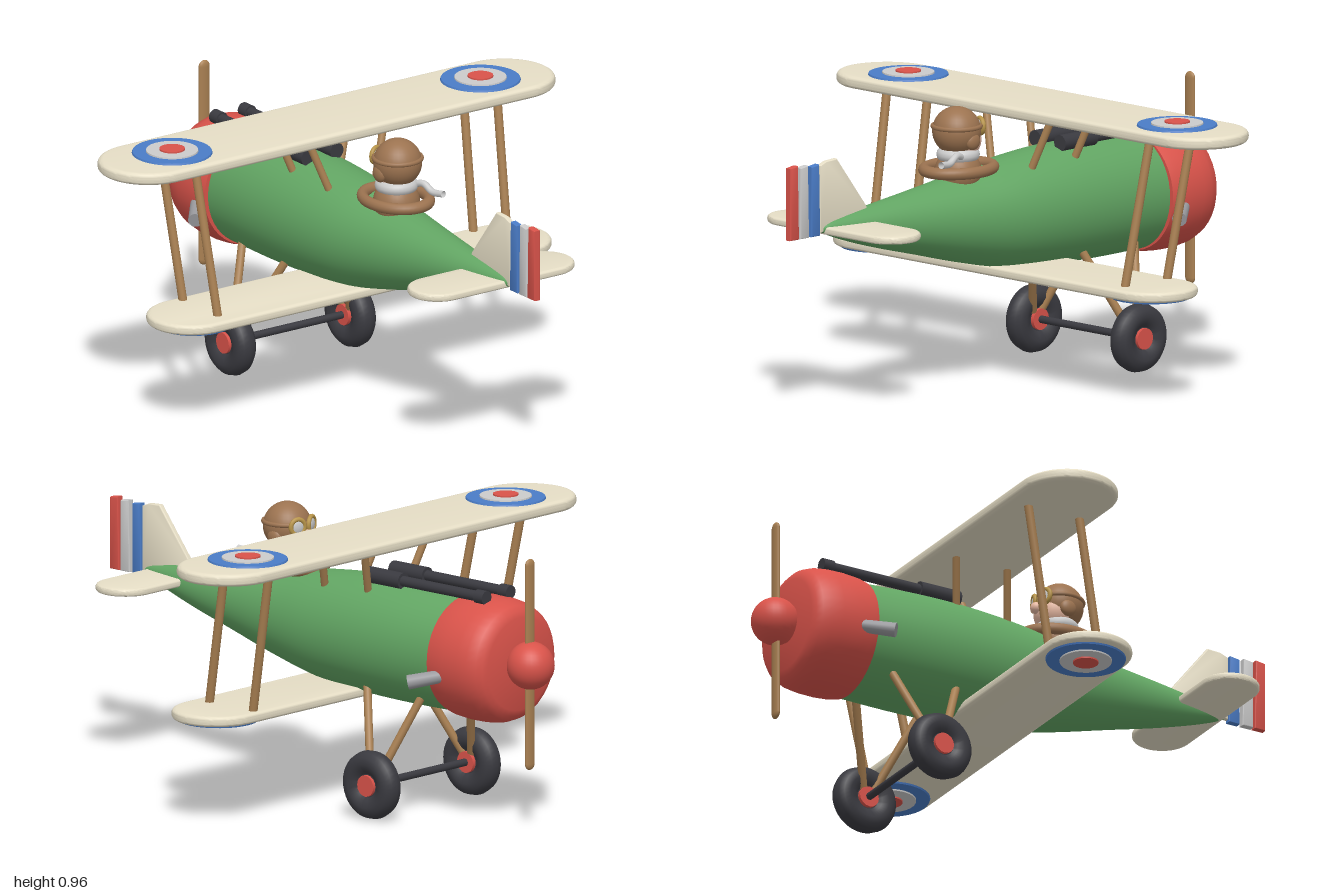
import * as THREE from 'three';
import { toCreasedNormals } from 'three/addons/utils/BufferGeometryUtils.js';
import { ParametricGeometry } from 'three/addons/geometries/ParametricGeometry.js';

const mat = (color) => new THREE.MeshStandardMaterial({ color });
const M = {
  green: mat(0x62a563), cream: mat(0xe6dec6), red: mat(0xd9534a), wood: mat(0xa98052), dark: mat(0x3a3a40),
  blue: mat(0x4a7cc7), grey: mat(0xcccccc), steel: mat(0x9a9a9e), leather: mat(0x9c7350), skin: mat(0xe8b9a2), gold: mat(0xb8954a),
};
const V = (x, y, z) => new THREE.Vector3(x, y, z);

export function createModel() {
  const root = new THREE.Group();
  const add = (name, geo, m, x = 0, y = 0, z = 0) => {
    const mesh = new THREE.Mesh(geo, m);
    mesh.name = name;
    mesh.position.set(x, y, z);
    root.add(mesh);
    return mesh;
  };
  // Round bar between two points
  const bar = (name, a, b, r, m, r2 = r) => {
    const d = b.clone().sub(a);
    const mesh = add(name, new THREE.CylinderGeometry(r2, r, d.length(), 16), m);
    mesh.position.copy(a).addScaledVector(d, 0.5);
    mesh.quaternion.setFromUnitVectors(V(0, 1, 0), d.normalize());
    return mesh;
  };
  const ball = (name, r, m, x, y, z) => add(name, new THREE.SphereGeometry(r, 32, 20), m, x, y, z);
  // Lathe profile turned to run along z
  const turned = (pts) => toCreasedNormals(
    new THREE.LatheGeometry(pts.map(([r, z]) => new THREE.Vector2(r, z)), 40).rotateX(Math.PI / 2), 0.6);
  const slab = (shape, t, bevel) => toCreasedNormals(new THREE.ExtrudeGeometry(shape, {
    depth: t - 2 * bevel, bevelThickness: bevel, bevelSize: bevel, bevelOffset: -bevel, bevelSegments: 4, curveSegments: 20,
  }).translate(0, 0, bevel - t / 2), 0.7);

  // Fuselage: elliptical sections along a curve holding (radius, centre height, z)
  const spine = new THREE.CatmullRomCurve3([
    V(0.2, 0.565, -0.66), V(0.207, 0.57, -0.4), V(0.203, 0.572, -0.2), V(0.186, 0.573, 0), V(0.15, 0.58, 0.2),
    V(0.111, 0.594, 0.4), V(0.073, 0.609, 0.6), V(0.042, 0.621, 0.74), V(0.02, 0.629, 0.82), V(0.002, 0.632, 0.86),
  ]);
  add('fuselage', new ParametricGeometry((u, v, out) => {
    const p = spine.getPoint(v), a = u * Math.PI * 2;
    out.set(0.95 * p.x * Math.cos(a), p.y + p.x * Math.sin(a), p.z);
  }, 48, 60), M.green);

  // Cowling, spinner and propeller
  add('cowling', turned([[0, -0.87], [0.16, -0.87], [0.18, -0.862], [0.197, -0.845], [0.21, -0.81], [0.215, -0.77],
    [0.216, -0.71], [0.212, -0.66], [0.205, -0.63], [0, -0.63]]), M.red, 0, 0.565, 0);
  ball('spinner', 0.082, M.red, 0, 0.567, -0.918);
  const prop = add('propeller', new THREE.CapsuleGeometry(0.022, 0.686, 8, 20, 20), M.wood, 0, 0.57, -0.915);
  prop.scale.z = 0.45;

  // Wings and tailplane: slabs with semicircular tips
  const wing = (name, half, chord, t, y, z) => {
    const r = chord / 2, s = new THREE.Shape();
    s.absarc(half - r, 0, r, -Math.PI / 2, Math.PI / 2, false);
    s.absarc(r - half, 0, r, Math.PI / 2, Math.PI * 1.5, false);
    s.closePath();
    add(name, slab(s, t, t * 0.45).rotateX(-Math.PI / 2), M.cream, 0, y, z);
  };
  wing('upperWing', 0.915, 0.345, 0.042, 0.911, -0.212);
  wing('lowerWing', 0.81, 0.305, 0.036, 0.384, -0.083);
  wing('tailplane', 0.325, 0.205, 0.027, 0.623, 0.733);

  // Fin and striped rudder
  const plate = (name, pts, m, t) => {
    const s = new THREE.Shape(pts.map(([z, y]) => new THREE.Vector2(-z, y)));
    add(name, slab(s, t, 0.005).rotateY(Math.PI / 2), m);
  };
  plate('fin', [[0.855, 0.62], [0.62, 0.64], [0.635, 0.685], [0.775, 0.865], [0.825, 0.862], [0.855, 0.85]].reverse(), M.cream, 0.02);
  [['rudderBlue', M.blue, 0.857, 0.857], ['rudderGrey', M.grey, 0.91, 0.86], ['rudderRed', M.red, 0.958, 0.865]].forEach(([n, m, z, top]) =>
    plate(n, [[z + 0.042, 0.611], [z, 0.611], [z + 0.005, top], [z + 0.042, top - 0.005]].reverse(), m, 0.026));

  for (const s of [-1, 1]) {
    // Roundels above the upper wing and below the lower wing
    [[0.137, 0.007, M.blue], [0.09, 0.012, M.grey], [0.044, 0.017, M.red]].forEach(([r, h, m]) => {
      add('upperRoundel', new THREE.CylinderGeometry(r * 0.98, r, h, 40), m, s * 0.643, 0.931 + h / 2, -0.213);
      add('lowerRoundel', new THREE.CylinderGeometry(r, r * 0.98, h, 40), m, s * 0.648, 0.367 - h / 2, -0.083);
    });

    // Wing struts
    for (const dz of [0, -0.2]) {
      bar('wingStrut', V(s * 0.605, 0.385, dz), V(s * 0.63, 0.91, dz - 0.1), 0.015, M.wood);
      bar('cabaneStrut', V(s * 0.09, 0.71, dz - 0.06), V(s * 0.158, 0.905, dz - 0.1), 0.013, M.wood);
    }

    // Undercarriage legs and wheel
    bar('gearLeg', V(s * 0.12, 0.42, -0.28), V(s * 0.23, 0.15, -0.395), 0.014, M.wood);
    bar('gearLeg', V(s * 0.12, 0.42, -0.53), V(s * 0.23, 0.15, -0.435), 0.014, M.wood);
    const tyre = turned([[0, -0.022], [0.04, -0.022], [0.052, -0.032], [0.075, -0.041], [0.098, -0.036], [0.112, -0.022], [0.118, 0],
      [0.112, 0.022], [0.098, 0.036], [0.075, 0.041], [0.052, 0.032], [0.04, 0.022], [0, 0.022]]);
    add('wheel', tyre.rotateY(Math.PI / 2), M.dark, s * 0.25, 0.12, -0.42);
    bar('wheelHub', V(s * 0.215, 0.12, -0.42), V(s * 0.283, 0.12, -0.42), 0.037, M.red);

    // Machine gun
    const gun = (n, z1, z2, r) => bar(n, V(s * 0.06, 0.788, z1), V(s * 0.06, 0.788, z2), r, M.dark);
    gun('gunBody', -0.235, -0.39, 0.028);
    gun('gunBarrel', -0.38, -0.74, 0.018);
    gun('gunMuzzle', -0.73, -0.772, 0.024);

    // Exhaust pipe
    bar('exhaust', V(s * 0.185, 0.53, -0.70), V(s * 0.265, 0.504, -0.6), 0.022, M.steel, 0.025);

    // Goggle, with ear flap on the helmet
    add('goggleRim', new THREE.TorusGeometry(0.026, 0.008, 10, 28), M.gold, s * 0.034, 0.893, 0.118).rotation.y = s * -0.35;
    const lens = ball('goggleLens', 0.025, M.grey, s * 0.034, 0.893, 0.12);
    lens.scale.z = 0.4;
    lens.rotation.y = s * -0.35;
    ball('earFlap', 0.03, M.leather, s * 0.07, 0.853, 0.19).scale.x = 0.6;
  }
  bar('axle', V(-0.23, 0.12, -0.42), V(0.23, 0.12, -0.42), 0.013, M.dark);

  // Cockpit rim
  const rim = add('cockpitRim', new THREE.TorusGeometry(0.115, 0.02, 14, 48), M.leather, 0, 0.752, 0.187);
  rim.rotation.x = Math.PI / 2;
  rim.scale.set(0.9, 1.12, 1);

  // Pilot
  ball('pilotBody', 0.08, M.leather, 0, 0.74, 0.19);
  ball('helmet', 0.083, M.leather, 0, 0.882, 0.197);
  ball('face', 0.069, M.skin, 0, 0.849, 0.176);
  ball('nose', 0.021, M.skin, 0, 0.86, 0.107);
  const strap = add('goggleStrap', new THREE.TorusGeometry(0.081, 0.008, 8, 40), M.leather, 0, 0.898, 0.197);
  strap.rotation.x = Math.PI / 2;
  const scarf = add('scarf', new THREE.TorusGeometry(0.05, 0.024, 12, 36), M.grey, 0, 0.8, 0.19);
  scarf.rotation.x = Math.PI / 2;
  const tail = new THREE.CatmullRomCurve3([V(0.05, 0.8, 0.22), V(0.062, 0.81, 0.26), V(0.07, 0.79, 0.3), V(0.08, 0.793, 0.35)]);
  add('scarfTail', new THREE.TubeGeometry(tail, 20, 0.012, 10), new THREE.MeshStandardMaterial({ color: 0xcccccc, side: THREE.DoubleSide }));

  return root;
}
